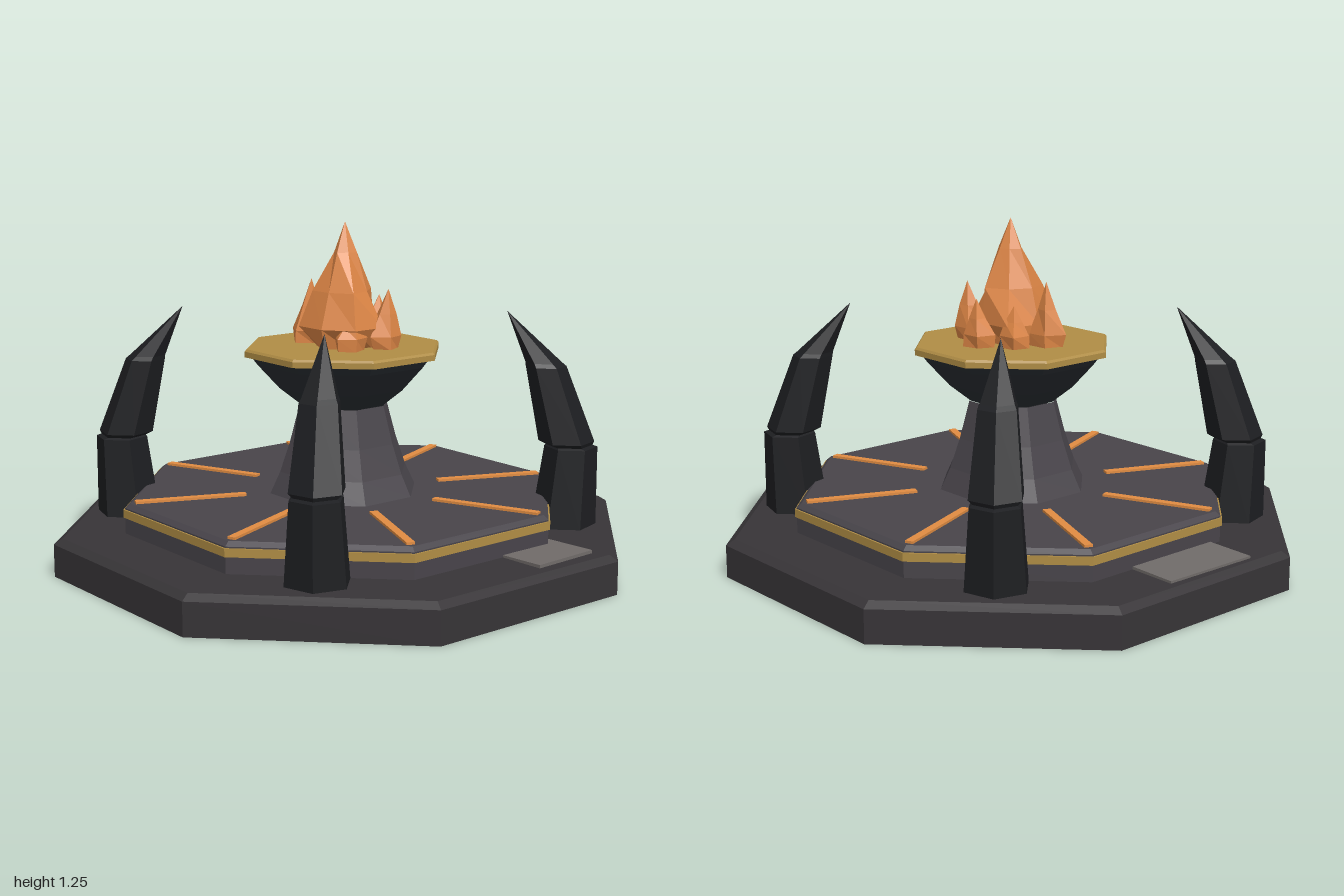
import * as THREE from 'three';

const paint = (color) => new THREE.MeshStandardMaterial({ color, flatShading: true });
const APOTHEM = Math.cos(Math.PI / 8);

// Eight-sided solid; profile is [apothem, y] from bottom to top
function octagon(name, profile, material) {
  const points = profile.map(([a, y]) => new THREE.Vector2(a / APOTHEM, y));
  const mesh = new THREE.Mesh(new THREE.LatheGeometry(points, 8, Math.PI / 8), material);
  mesh.name = name;
  return mesh;
}

// Bent spike; rings are [radius, y, centre x, centre z], jitter roughens the radius
function spike(name, rings, sides, material, start = Math.PI / 2, jitter = 0) {
  const points = rings.map(([r, y]) => new THREE.Vector2(r, y));
  const geometry = new THREE.LatheGeometry(points, sides, start);
  const pos = geometry.attributes.position;
  for (let i = 0; i < pos.count; i++) {
    const row = i % rings.length;
    const side = Math.floor(i / rings.length) % sides;
    const [, , cx, cz = 0] = rings[row];
    const k = 1 + jitter * Math.sin(side * 2.6 + row * 1.9);
    pos.setX(i, pos.getX(i) * k + cx);
    pos.setZ(i, pos.getZ(i) * k + cz);
  }
  geometry.computeVertexNormals();
  const mesh = new THREE.Mesh(geometry, material);
  mesh.name = name;
  return mesh;
}

export function createModel() {
  const model = new THREE.Group();
  model.name = 'fireAltar';
  const darkStone = paint(0x373437);
  const stone = paint(0x48444a);
  const gold = paint(0xb08d45);
  const ember = paint(0xe08c42);
  const iron = paint(0x282d32);
  const black = paint(0x1d1e21);
  const flame = paint(0xdc8545);
  const rubble = paint(0x706b69);

  // Stepped base
  model.add(
    octagon('base', [[0, 0], [1, 0], [1, 0.12], [0.97, 0.14], [0, 0.14]], darkStone),
    octagon('upperStep', [[0.76, 0.13], [0.76, 0.235], [0.742, 0.25], [0, 0.25]], stone),
    octagon('stepTrim', [[0.755, 0.2], [0.766, 0.2], [0.766, 0.23], [0.755, 0.23]], gold)
  );

  // Pedestal, bowl and rim
  model.add(
    octagon('pedestal', [[0.26, 0.25], [0.225, 0.33], [0.19, 0.44], [0.155, 0.58]], stone),
    octagon('bowl', [[0, 0.575], [0.15, 0.58], [0.225, 0.645], [0.3, 0.735], [0.325, 0.77]], iron),
    octagon('bowlRim', [[0, 0.766], [0.345, 0.766], [0.345, 0.787], [0.338, 0.795], [0, 0.795]], gold)
  );

  // Glowing strips towards the corners of the step
  for (let i = 0; i < 8; i++) {
    const strip = new THREE.Mesh(new THREE.BoxGeometry(0.41, 0.02, 0.03), ember);
    const angle = Math.PI / 8 + (i * Math.PI) / 4;
    strip.name = 'glowStrip';
    strip.position.set(0.58 * Math.cos(angle), 0.249, -0.58 * Math.sin(angle));
    strip.rotation.y = angle;
    model.add(strip);
  }

  // Curved claws on the diagonals, leaning inwards
  const clawRings = [
    [0, 0.13, 0.82], [0.12, 0.13, 0.82], [0.097, 0.432, 0.842], [0.085, 0.438, 0.835],
    [0.102, 0.452, 0.825], [0.074, 0.73, 0.745], [0.066, 0.745, 0.735], [0, 0.93, 0.6]
  ];
  for (let i = 0; i < 4; i++) {
    const claw = spike('claw', clawRings, 6, black);
    claw.rotation.y = Math.PI / 4 + (i * Math.PI) / 2;
    model.add(claw);
  }

  // Flame: a tall crystal with smaller ones around it
  model.add(spike('mainFlame', [
    [0, 0.79, 0.01, 0.01], [0.105, 0.79, 0.01, 0.01], [0.15, 0.87, 0.015, 0.015],
    [0.105, 1.0, 0.015, 0.01], [0.045, 1.14, 0.01, 0], [0, 1.25, 0.01, 0]
  ], 7, flame, 0.3, 0.14));
  const shards = [
    // x, z, radius, tip height, tip x, tip z
    [-0.145, 0.045, 0.068, 1.03, -0.15, 0.03],
    [0.145, -0.075, 0.062, 1.01, 0.15, -0.09],
    [0.01, -0.15, 0.062, 0.97, 0.01, -0.165],
    [0.11, 0.06, 0.06, 0.93, 0.12, 0.06],
    [-0.09, -0.07, 0.06, 0.95, -0.1, -0.08]
  ];
  shards.forEach(([x, z, r, top, tx, tz], i) => {
    model.add(spike('smallFlame', [
      [0, 0.79, x, z], [r * 0.9, 0.79, x, z], [r, 0.84, x, z],
      [r * 0.55, 0.93 - (1.03 - top) * 0.5, (x + tx) / 2, (z + tz) / 2], [0, top, tx, tz]
    ], 5, flame, i * 1.3, 0.1));
  });

  // Loose slabs lying on the base
  const slabs = [
    [-0.85, 0.068, 0.19, 0.39, -0.02, 0.01],
    [0.825, -0.23, 0.2, 0.27, 0.04, 0.02]
  ];
  for (const [x, z, w, d, turn, tilt] of slabs) {
    const slab = new THREE.Mesh(new THREE.BoxGeometry(w, 0.035, d), rubble);
    slab.name = 'looseSlab';
    slab.position.set(x, 0.132, z);
    slab.rotation.set(0, turn, tilt);
    model.add(slab);
  }
  return model;
}
